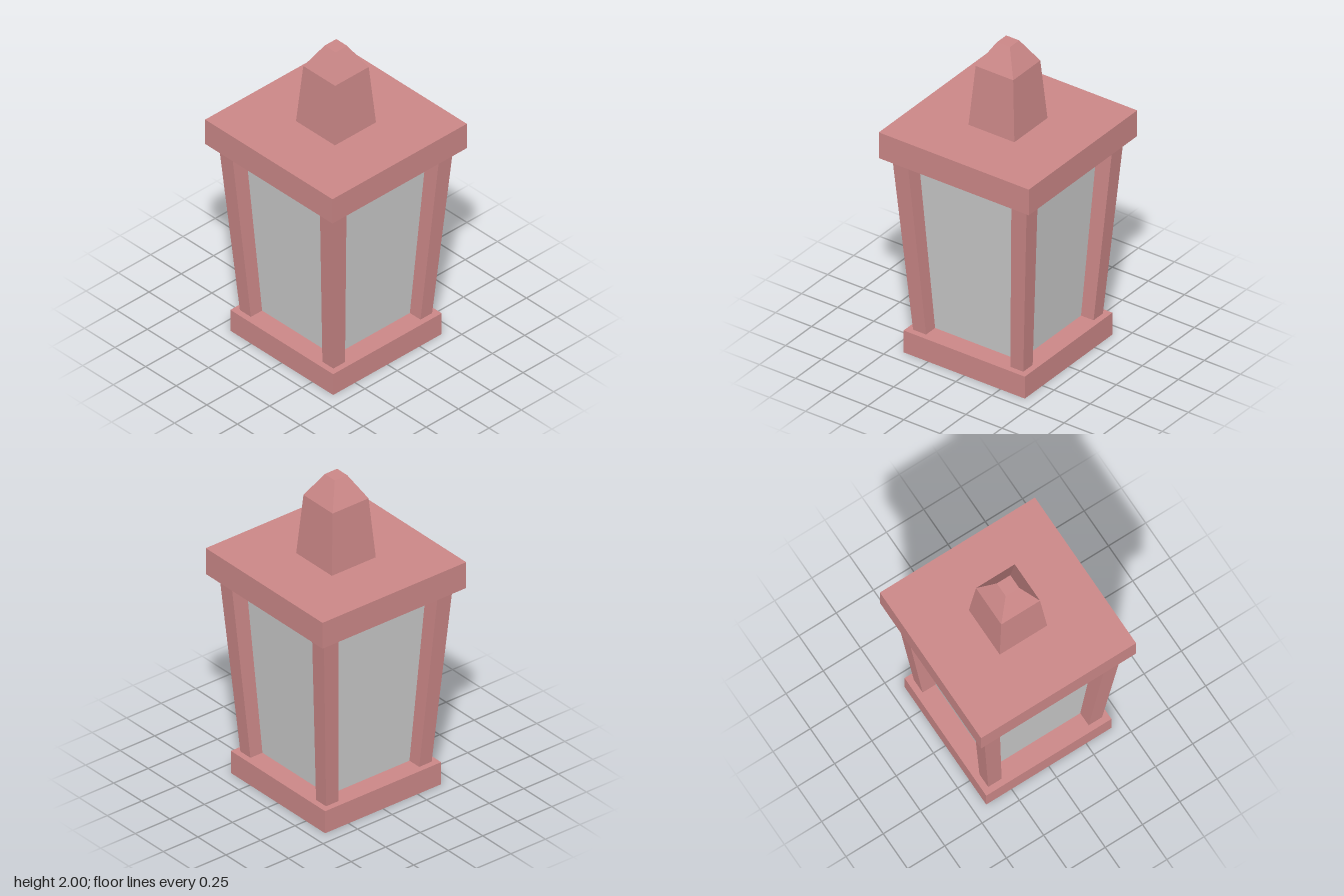
import * as THREE from 'three';

const red = new THREE.MeshStandardMaterial({ color: 0xcc8888, flatShading: true });
const grey = new THREE.MeshStandardMaterial({ color: 0xcccccc, flatShading: true });

// Box between two levels; each end is a square given by its centre and half width.
function taperedBox(y0, c0, h0, y1, c1, h1) {
  const geometry = new THREE.BoxGeometry(2, 1, 2);
  const p = geometry.attributes.position;
  for (let i = 0; i < p.count; i++) {
    const top = p.getY(i) > 0;
    const c = top ? c1 : c0;
    const h = top ? h1 : h0;
    p.setXYZ(i, c[0] + p.getX(i) * h, top ? y1 : y0, c[1] + p.getZ(i) * h);
  }
  geometry.computeVertexNormals();
  return geometry;
}

export function createModel() {
  const group = new THREE.Group();
  const mid = [0, 0];

  const add = (name, geometry, material = red) => {
    const mesh = new THREE.Mesh(geometry, material);
    mesh.name = name;
    group.add(mesh);
  };

  // Base and roof slabs
  add('base', taperedBox(0, mid, 0.42, 0.145, mid, 0.42));
  add('roof', taperedBox(1.3, mid, 0.52, 1.47, mid, 0.52));

  // Glass body, widening upwards
  add('glass', taperedBox(0.145, mid, 0.295, 1.3, mid, 0.362), grey);

  // Four leaning corner posts
  for (const x of [-1, 1]) {
    for (const z of [-1, 1]) {
      const name = (z > 0 ? 'front' : 'back') + (x > 0 ? 'Left' : 'Right') + 'Post';
      add(name, taperedBox(
        0.145, [x * 0.337, z * 0.337], 0.045,
        1.3, [x * 0.413, z * 0.413], 0.053));
    }
  }

  // Finial: tapered shaft with a cut-off pyramid cap
  add('finialShaft', taperedBox(1.47, mid, 0.159, 1.855, mid, 0.13));
  add('finialCap', taperedBox(1.855, mid, 0.13, 2, mid, 0.045));

  return group;
}
